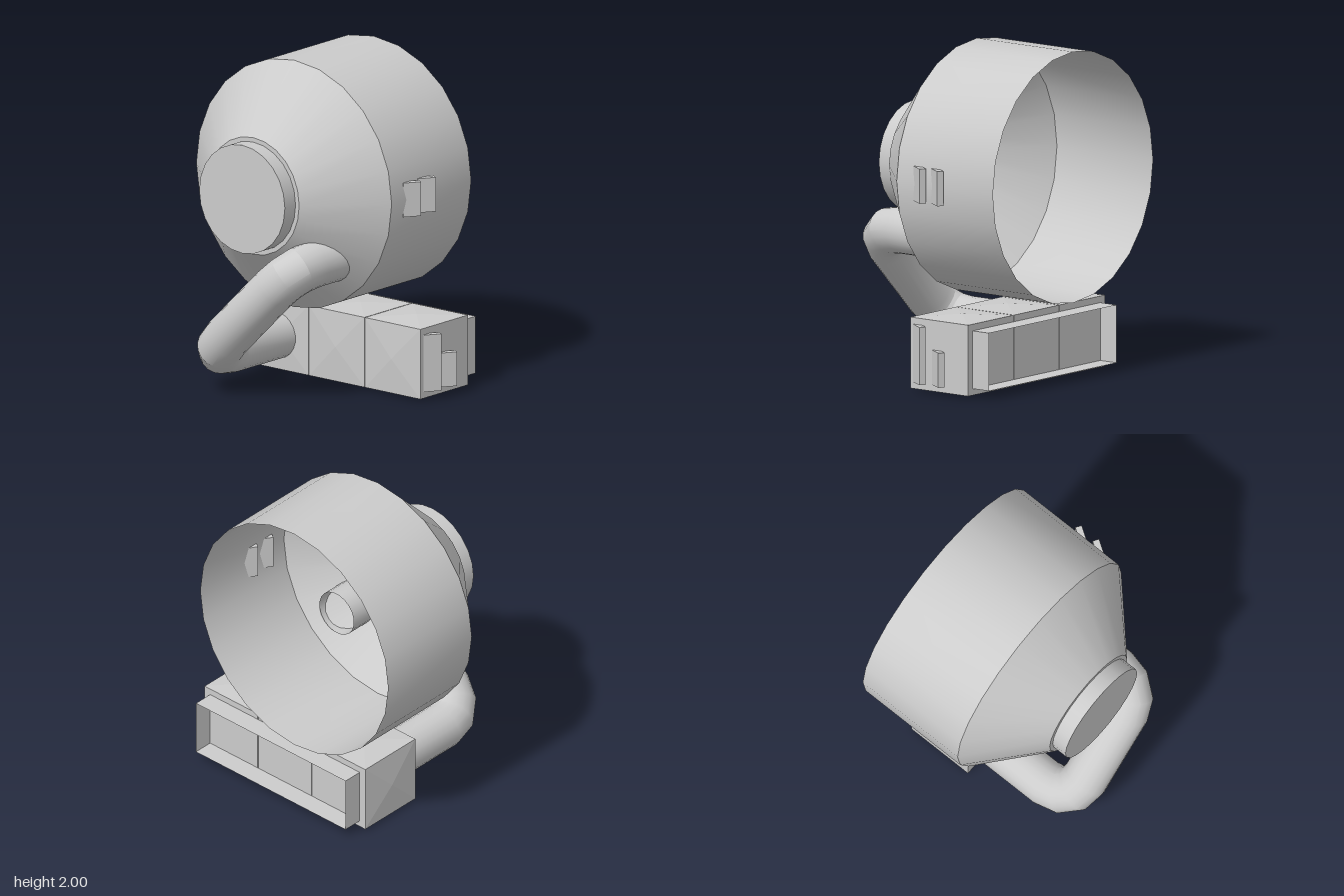
import * as THREE from 'three';
import { toCreasedNormals } from 'three/addons/utils/BufferGeometryUtils.js';

const smooth = new THREE.MeshStandardMaterial({ color: 0xcccccc, side: THREE.DoubleSide });
const flat = new THREE.MeshStandardMaterial({ color: 0xcccccc, side: THREE.DoubleSide, flatShading: true });
const AXIS = { x: -0.075, y: 1.24 };

function add(parent, name, geometry, material, x = 0, y = 0, z = 0) {
  const mesh = new THREE.Mesh(geometry, material);
  mesh.name = name;
  mesh.position.set(x, y, z);
  parent.add(mesh);
  return mesh;
}

// Round pipe with mitred rings along a path lying in the plane of u and z
function pipeGeometry(path, origin, u, radius, sides) {
  const side = new THREE.Vector3(-u.y, u.x, 0);
  const position = [], index = [];
  path.forEach(([s, z], i) => {
    const dir = (a, b) => new THREE.Vector2(b[0] - a[0], b[1] - a[1]).normalize();
    const before = i > 0 ? dir(path[i - 1], path[i]) : dir(path[0], path[1]);
    const after = i < path.length - 1 ? dir(path[i], path[i + 1]) : before;
    const t = before.clone().add(after).normalize();
    const miter = 1 / t.dot(before);
    for (let k = 0; k < sides; k++) {
      const a = (k / sides) * Math.PI * 2;
      const n = Math.cos(a) * radius * miter, b = Math.sin(a) * radius;
      const p = origin.clone().addScaledVector(u, s - t.y * n).addScaledVector(side, b);
      position.push(p.x, p.y, z + t.x * n);
      if (i > 0) {
        const k2 = (k + 1) % sides, p0 = (i - 1) * sides, p1 = i * sides;
        index.push(p0 + k, p0 + k2, p1 + k, p1 + k, p0 + k2, p1 + k2);
      }
    }
  });
  const g = new THREE.BufferGeometry();
  g.setAttribute('position', new THREE.Float32BufferAttribute(position, 3));
  g.setIndex(index);
  g.computeVertexNormals();
  return toCreasedNormals(g, 0.45);
}

// Slanted vent slat, placed by its outer tip
function slat(parent, tipX, tipZ, y, height) {
  const m = add(parent, 'ventSlat', new THREE.BoxGeometry(0.04, height, 0.112), flat, tipX - 0.0475, y, tipZ + 0.0375);
  m.rotation.y = -0.56;
}

export function createModel() {
  const model = new THREE.Group();
  model.name = 'drumUnit';

  // Drum: open at the back, tapering to the front
  const profile = [[0.76, -0.67], [0.76, 0.065], [0.36, 0.445], [0, 0.445]].map(([r, z]) => new THREE.Vector2(r, z));
  const drum = new THREE.LatheGeometry(profile, 24).rotateX(Math.PI / 2);
  add(model, 'drum', toCreasedNormals(drum, 0.5), smooth, AXIS.x, AXIS.y);
  const cap = new THREE.CylinderGeometry(0.333, 0.333, 0.099, 24).rotateX(Math.PI / 2);
  add(model, 'frontCap', cap, smooth, AXIS.x, AXIS.y, 0.4955);

  // Pipe: out of the cone, diagonally down, and back into the housing
  const top = new THREE.Vector3(0.3, 0.86, 0), bottom = new THREE.Vector3(-0.34, 0.23, 0);
  const length = top.distanceTo(bottom), bend = 0.19, zBend = 0.34;
  const path = [[0, 0.11]];
  for (let i = 0; i <= 3; i++) {
    const a = (i * Math.PI) / 6;
    path.push([bend * (1 - Math.cos(a)), zBend + bend * Math.sin(a)]);
  }
  for (let i = 3; i >= 0; i--) {
    const a = (i * Math.PI) / 6;
    path.push([length - bend * (1 - Math.cos(a)), zBend + bend * Math.sin(a)]);
  }
  path.push([length, -0.15]);
  const u = bottom.clone().sub(top).normalize();
  add(model, 'pipe', pipeGeometry(path, top, u, 0.14, 20), smooth);

  // Housing: three boxes with slightly pointed panels
  const housing = new THREE.Group();
  housing.name = 'housing';
  model.add(housing);
  const w = 0.43, d = 0.44, rise = 0.015;
  const panel = () => new THREE.ConeGeometry(Math.SQRT1_2, rise, 4, 1, true).rotateY(Math.PI / 4);
  [-0.32, 0.115, 0.55].forEach((x, i) => {
    const box = new THREE.Group();
    box.name = 'housingModule';
    box.position.set(x, 0.235, -0.325);
    housing.add(box);
    add(box, 'moduleBody', new THREE.BoxGeometry(w, w, d), flat);
    const h = w / 2 + rise / 2;
    add(box, 'topPanel', panel().scale(w, 1, d), flat, 0, h, 0);
    add(box, 'bottomPanel', panel().scale(w, 1, d).rotateX(Math.PI), flat, 0, -h, 0);
    add(box, 'frontPanel', panel().scale(w, 1, w).rotateX(Math.PI / 2), flat, 0, 0, d / 2 + rise / 2);
    if (i === 0) add(box, 'sidePanel', panel().scale(w, 1, d).rotateZ(Math.PI / 2), flat, -h, 0, 0);
  });

  // Open rectangular collar behind the housing
  const collar = new THREE.CylinderGeometry(Math.SQRT1_2, Math.SQRT1_2, 1, 4, 1, true)
    .rotateY(Math.PI / 4).rotateX(Math.PI / 2).scale(1.21, 0.35, 0.125);
  add(housing, 'rearCollar', collar, flat, 0.115, 0.235, -0.6075);

  // Vent slats on the drum wall and housing end
  for (const z of [-0.15, -0.285]) slat(model, 0.735, z, 1.24, 0.21);
  slat(housing, 0.83, -0.225, 0.235, 0.35);
  slat(housing, 0.83, -0.37, 0.165, 0.21);

  return model;
}
